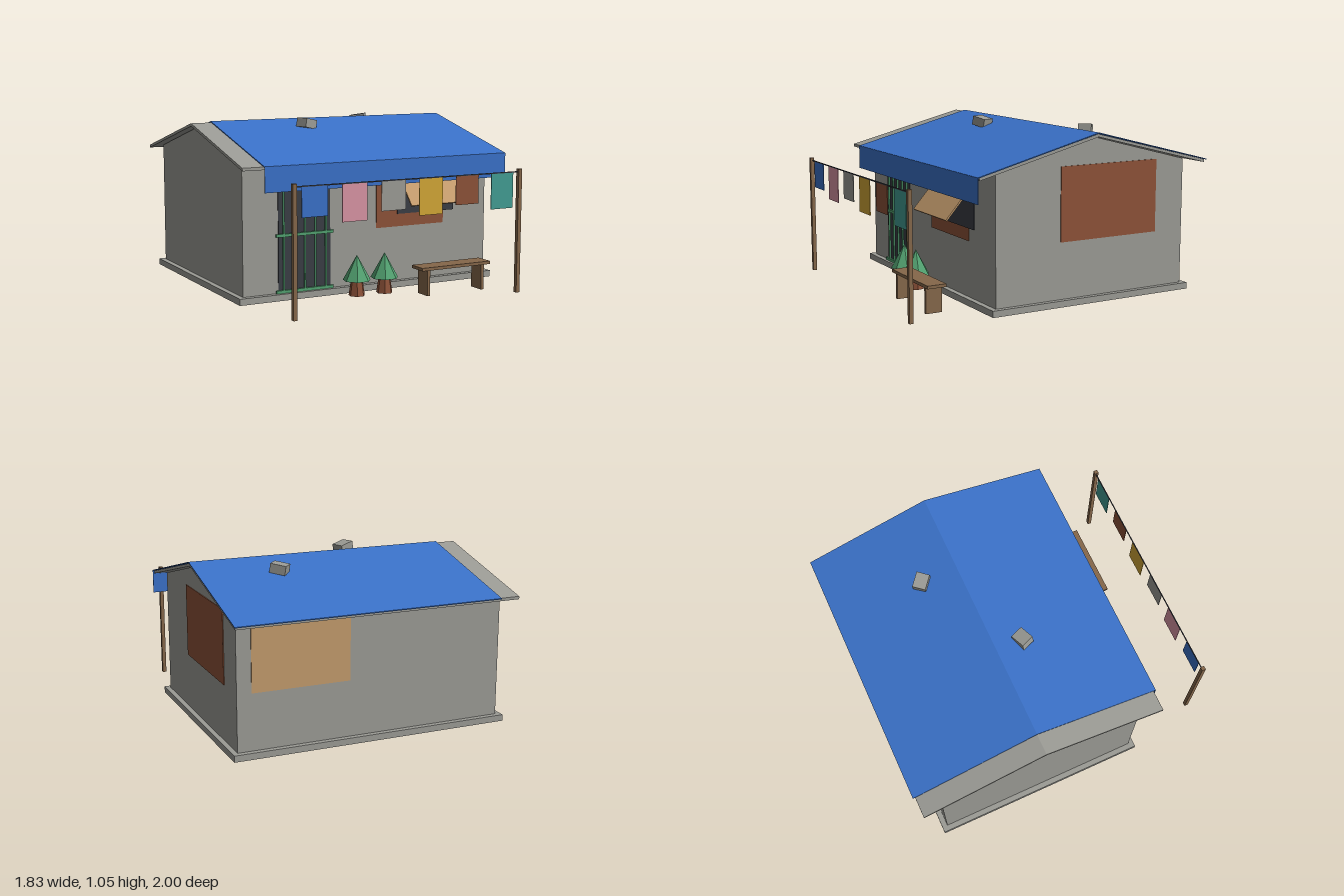
import * as THREE from 'three';

const colours = {
  concrete: 0x9b9b95, tarpBlue: 0x3a71c8, rustBrown: 0x8d5238, plywoodTan: 0xc29a6c, charcoal: 0x3a3d45,
  wood: 0x85674a, leafGreen: 0x52a070, pink: 0xd894a4, yellow: 0xd2a636, teal: 0x429c92,
};

export function createModel() {
  const root = new THREE.Group();
  root.name = 'house';
  const mats = {};
  for (const [name, color] of Object.entries(colours)) {
    mats[name] = new THREE.MeshStandardMaterial({ color });
    mats[name].name = name;
  }

  const add = (name, geometry, mat, parent = root) => {
    const mesh = new THREE.Mesh(geometry, mats[mat]);
    mesh.name = name;
    parent.add(mesh);
    return mesh;
  };
  // Box given by its limits on each axis
  const box = (name, mat, [x0, x1], [y0, y1], [z0, z1], parent) => {
    const g = new THREE.BoxGeometry(x1 - x0, y1 - y0, z1 - z0);
    g.translate((x0 + x1) / 2, (y0 + y1) / 2, (z0 + z1) / 2);
    return add(name, g, mat, parent);
  };
  // Side profile of [z, y] points, swept along x
  const sweep = (name, mat, points, x0, x1) => {
    const shape = new THREE.Shape(points.map(([z, y]) => new THREE.Vector2(z, y)));
    const g = new THREE.ExtrudeGeometry(shape, { depth: x1 - x0, bevelEnabled: false });
    g.rotateY(-Math.PI / 2).translate(x1, 0, 0);
    return add(name, g, mat);
  };
  const group = (name) => {
    const g = new THREE.Group();
    g.name = name;
    root.add(g);
    return g;
  };

  // Plinth and gabled walls
  box('plinth', 'concrete', [-0.9, 0.892], [0, 0.04], [-0.888, 0.525]);
  sweep('walls', 'concrete', [[0.49, 0.04], [0.49, 0.835], [-0.182, 1.008], [-0.853, 0.835], [-0.853, 0.04]], -0.865, 0.86);

  // Bent roof sheet and the tarp over it
  const ridgeZ = -0.182;
  const bentSheet = (name, mat, halfSpan, ridgeY, eaveY, t, x0, x1) => sweep(name, mat, [
    [ridgeZ + halfSpan, eaveY], [ridgeZ, ridgeY], [ridgeZ - halfSpan, eaveY],
    [ridgeZ - halfSpan, eaveY - t], [ridgeZ, ridgeY - t], [ridgeZ + halfSpan, eaveY - t],
  ], x0, x1);
  bentSheet('roof', 'concrete', 0.803, 1.029, 0.826, 0.018, -0.918, 0.908);
  bentSheet('tarp', 'tarpBlue', 0.818, 1.038, 0.829, 0.006, -0.785, 0.915);
  box('tarpFlap', 'tarpBlue', [-0.785, 0.915], [0.675, 0.827], [0.632, 0.637]);

  // Stones holding the tarp down
  for (const [x, y, z, ry, rz] of [[-0.193, 1.015, -0.003, 0.36, -0.2], [0.417, 1.003, -0.417, -0.7, 0.15]]) {
    const stone = add('roofStone', new THREE.BoxGeometry(0.1, 0.058, 0.085), 'concrete');
    stone.position.set(x, y, z);
    stone.rotation.set(0, ry, rz);
  }

  // Wall patches
  box('sidePatch', 'rustBrown', [0.858, 0.865], [0.39, 0.845], [-0.645, 0.05]);
  box('backPatch', 'plywoodTan', [0.15, 0.77], [0.39, 0.845], [-0.858, -0.851]);
  box('frontPatch', 'rustBrown', [0.04, 0.535], [0.385, 0.8], [0.488, 0.495]);

  // Window with propped shutter
  box('windowOpening', 'charcoal', [0.19, 0.61], [0.465, 0.775], [0.492, 0.5]);
  const shutter = add('shutter', new THREE.BoxGeometry(0.438, 0.01, 0.29), 'plywoodTan');
  shutter.position.set(0.399, 0.648, 0.588);
  shutter.rotation.x = Math.atan2(0.215, 0.19);

  // Door with a barred gate
  box('door', 'charcoal', [-0.635, -0.285], [0.04, 0.775], [0.488, 0.496]);
  const gate = group('gate');
  for (let i = 0; i < 5; i++) {
    const x = -0.602 + i * 0.071;
    box('gateBar', 'leafGreen', [x - 0.005, x + 0.005], [0.045, 0.775], [0.496, 0.506], gate);
  }
  for (const y of [0.05, 0.393, 0.735]) {
    box('gateRail', 'leafGreen', [-0.653, -0.27], [y - 0.009, y + 0.009], [0.496, 0.509], gate);
  }

  // Potted trees, seven-sided
  for (const [x, z] of [[-0.155, 0.598], [0.036, 0.606]]) {
    const tree = group('pottedTree');
    const pot = add('pot', new THREE.CylinderGeometry(0.036, 0.051, 0.1, 7), 'rustBrown', tree);
    pot.position.y = 0.05;
    const crown = add('crown', new THREE.ConeGeometry(0.087, 0.157, 7), 'leafGreen', tree);
    crown.position.y = 0.0945 + 0.0785;
    for (const m of [pot, crown]) m.geometry = m.geometry.toNonIndexed();
    for (const m of [pot, crown]) m.geometry.computeVertexNormals();
    tree.position.set(x, 0, z);
    tree.rotation.y = Math.PI;
  }

  // Bench
  const bench = group('bench');
  box('benchSeat', 'wood', [0.17, 0.668], [0.159, 0.178], [0.711, 0.834], bench);
  for (const x of [0.22, 0.617]) box('benchLeg', 'wood', [x - 0.01, x + 0.01], [0, 0.159], [0.72, 0.826], bench);

  // Washing line
  const line = group('washingLine');
  for (const x of [-0.769, 0.762]) {
    box('linePost', 'wood', [x - 0.0125, x + 0.0125], [0, 0.77], [0.975, 1], line);
  }
  box('rope', 'charcoal', [-0.769, 0.762], [0.748, 0.755], [0.982, 0.988], line);
  ['tarpBlue', 'pink', 'concrete', 'yellow', 'rustBrown', 'teal'].forEach((mat, i) => {
    const x = -0.641 + i * 0.2555;
    box('cloth', mat, [x - 0.081, x + 0.081], [i % 2 ? 0.532 : 0.576, 0.751], [0.983, 0.987], line);
  });

  return root;
}
